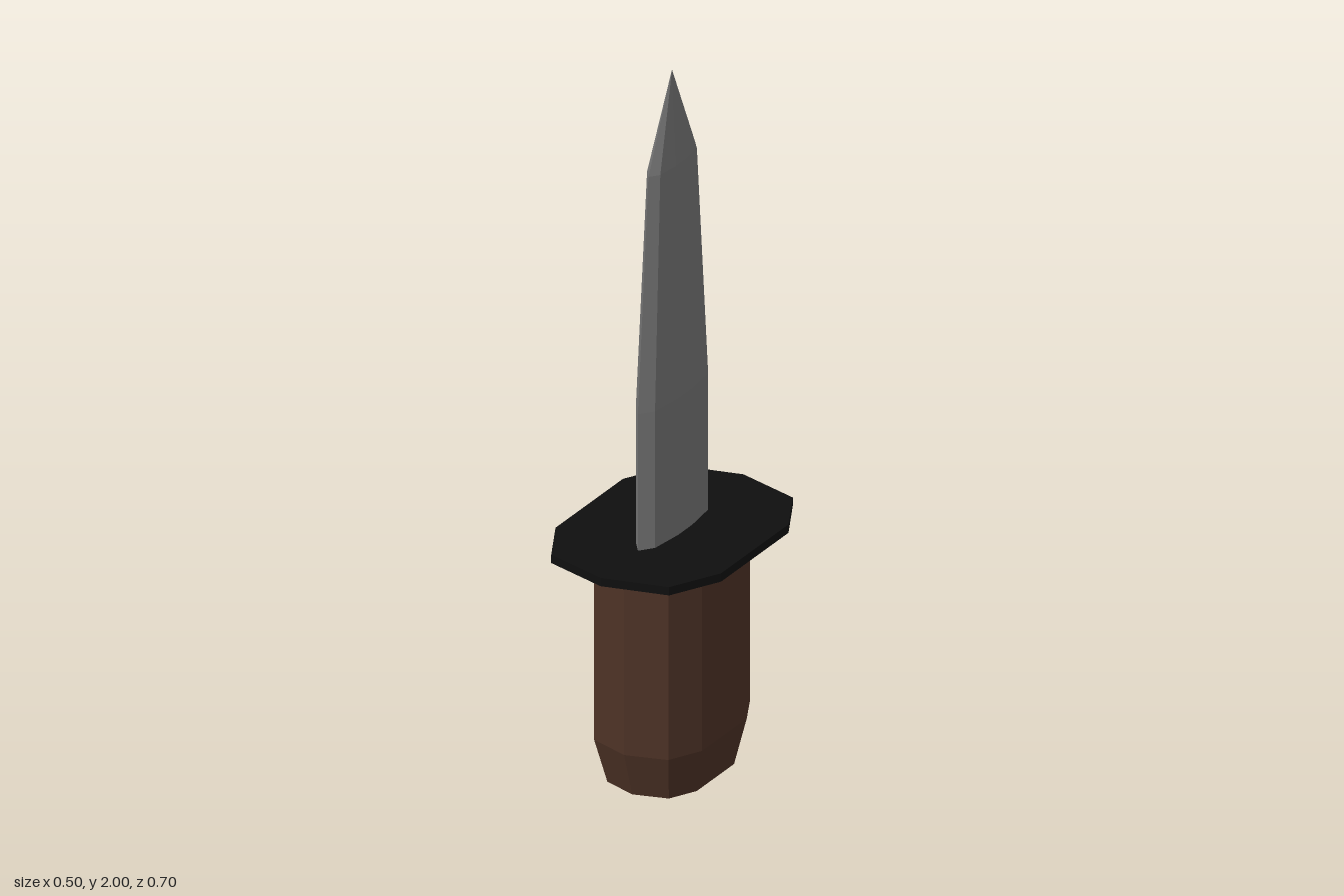
import * as THREE from 'three';

// Ten-sided outline from its corners in one quarter: (0,d), (bx,bz), (ax,az)
function outline(d, bx, bz, ax, az) {
  const half = [[0, d], [bx, bz], [ax, az], [ax, -az], [bx, -bz]];
  return [...half, ...half.map(([x, z]) => [-x, -z])];
}

// Closed solid through rings [y, scaleX, scaleZ], ending in a cap or point at apexY
function loft(profile, rings, apexY) {
  const pos = [];
  const n = profile.length;
  const at = ([y, sx, sz], i) => {
    const [x, z] = profile[i % n];
    return [x * sx, y, z * sz];
  };
  const first = rings[0];
  const last = rings[rings.length - 1];
  for (let i = 0; i < n; i++) {
    pos.push(0, first[0], 0, ...at(first, i + 1), ...at(first, i));
    for (let r = 0; r < rings.length - 1; r++) {
      const a = at(rings[r], i), b = at(rings[r], i + 1);
      const c = at(rings[r + 1], i + 1), d = at(rings[r + 1], i);
      pos.push(...a, ...b, ...c, ...a, ...c, ...d);
    }
    pos.push(0, apexY, 0, ...at(last, i), ...at(last, i + 1));
  }
  const geometry = new THREE.BufferGeometry();
  geometry.setAttribute('position', new THREE.Float32BufferAttribute(pos, 3));
  geometry.computeVertexNormals();
  return geometry;
}

export function createModel() {
  const group = new THREE.Group();
  const material = (name, color) => {
    const m = new THREE.MeshStandardMaterial({ color, flatShading: true });
    m.name = name;
    return m;
  };
  const add = (name, geometry, mat) => {
    const mesh = new THREE.Mesh(geometry, mat);
    mesh.name = name;
    group.add(mesh);
  };

  // Grip, tapering at the pommel end
  const grip = outline(0.235, 0.112, 0.2, 0.158, 0.11);
  add('handle', loft(grip, [[0, 0.83, 0.83], [0.13, 1, 1], [0.67, 1, 1]], 0.67),
    material('brown wood', 0x4d3226));

  // Flat crossguard plate
  const plate = outline(0.35, 0.178, 0.303, 0.25, 0.165);
  add('guard', loft(plate, [[0.664, 1, 1], [0.688, 1, 1]], 0.688),
    material('black', 0x0f0f0f));

  // Double-edged blade narrowing to a point
  const section = outline(0.167, 0.029, 0.13, 0.04, 0.035);
  add('blade', loft(section, [[0.68, 1, 1], [1.08, 1, 1], [1.74, 0.69, 0.69]], 2),
    material('grey steel', 0x757575));

  return group;
}
